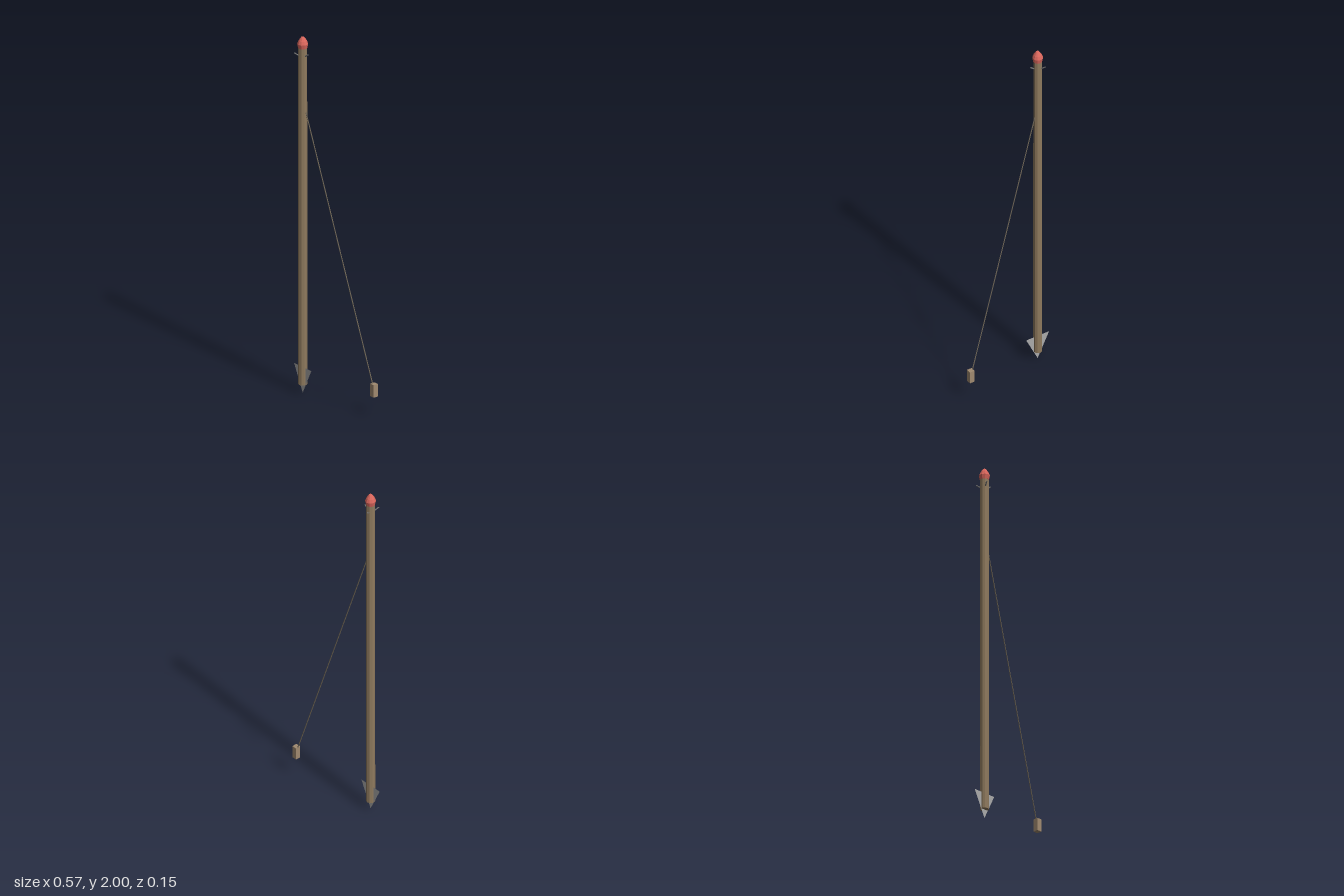
import * as THREE from 'three';

const material = (color, extra = {}) =>
  new THREE.MeshStandardMaterial({ color, flatShading: true, ...extra });

export function createModel() {
  const model = new THREE.Group();
  const wood = material(0x8f7a5e);
  const metal = material(0x777777);

  const add = (parent, name, geometry, mat, x = 0, y = 0, z = 0) => {
    const mesh = new THREE.Mesh(geometry, mat);
    mesh.name = name;
    mesh.position.set(x, y, z);
    parent.add(mesh);
    return mesh;
  };

  // Round bar between two points
  const bar = (parent, name, a, b, radius, mat) => {
    const dir = b.clone().sub(a);
    const mesh = add(parent, name, new THREE.CylinderGeometry(radius, radius, dir.length(), 6), mat);
    mesh.position.copy(a).add(b).multiplyScalar(0.5);
    mesh.quaternion.setFromUnitVectors(new THREE.Vector3(0, 1, 0), dir.normalize());
  };

  // Upright mast with everything fixed to it
  const mast = new THREE.Group();
  mast.name = 'mast';
  mast.position.set(-0.213, 0, 0.031);
  model.add(mast);
  add(mast, 'pole', new THREE.CylinderGeometry(0.0235, 0.0245, 1.9, 10), wood, 0, 1, 0);

  // Red faceted cap
  const capProfile = [[0, 1.935], [0.024, 1.936], [0.029, 1.96], [0.022, 1.978],
    [0.0125, 1.992], [0.008, 1.998], [0, 2]].map(([r, y]) => new THREE.Vector2(r, y));
  add(mast, 'cap', new THREE.LatheGeometry(capProfile, 10), material(0xd9665c));

  // Three pegs leaning outward below the cap
  for (let i = 0; i < 3; i++) {
    const angle = (i * Math.PI * 2) / 3;
    const at = (r, y) => new THREE.Vector3(r * Math.cos(angle), y, r * Math.sin(angle));
    bar(mast, 'peg', at(0.015, 1.89), at(0.044, 1.911), 0.0035, metal);
  }

  // Thin pointed ground blade
  const blade = new THREE.Shape();
  blade.moveTo(-0.072, 0.145);
  blade.lineTo(0, 0);
  blade.lineTo(0.072, 0.145);
  add(mast, 'groundBlade', new THREE.ShapeGeometry(blade),
    material(0xaaaaaa, { side: THREE.DoubleSide }));

  // Stay rope running down to its anchor block
  bar(model, 'rope', new THREE.Vector3(-0.195, 1.59, 0.027),
    new THREE.Vector3(0.266, 0.15, -0.06), 0.003, material(0x6f6657));
  add(model, 'anchorBlock', new THREE.BoxGeometry(0.029, 0.07, 0.029), material(0xa08a70),
    0.268, 0.147, -0.06);

  return model;
}
